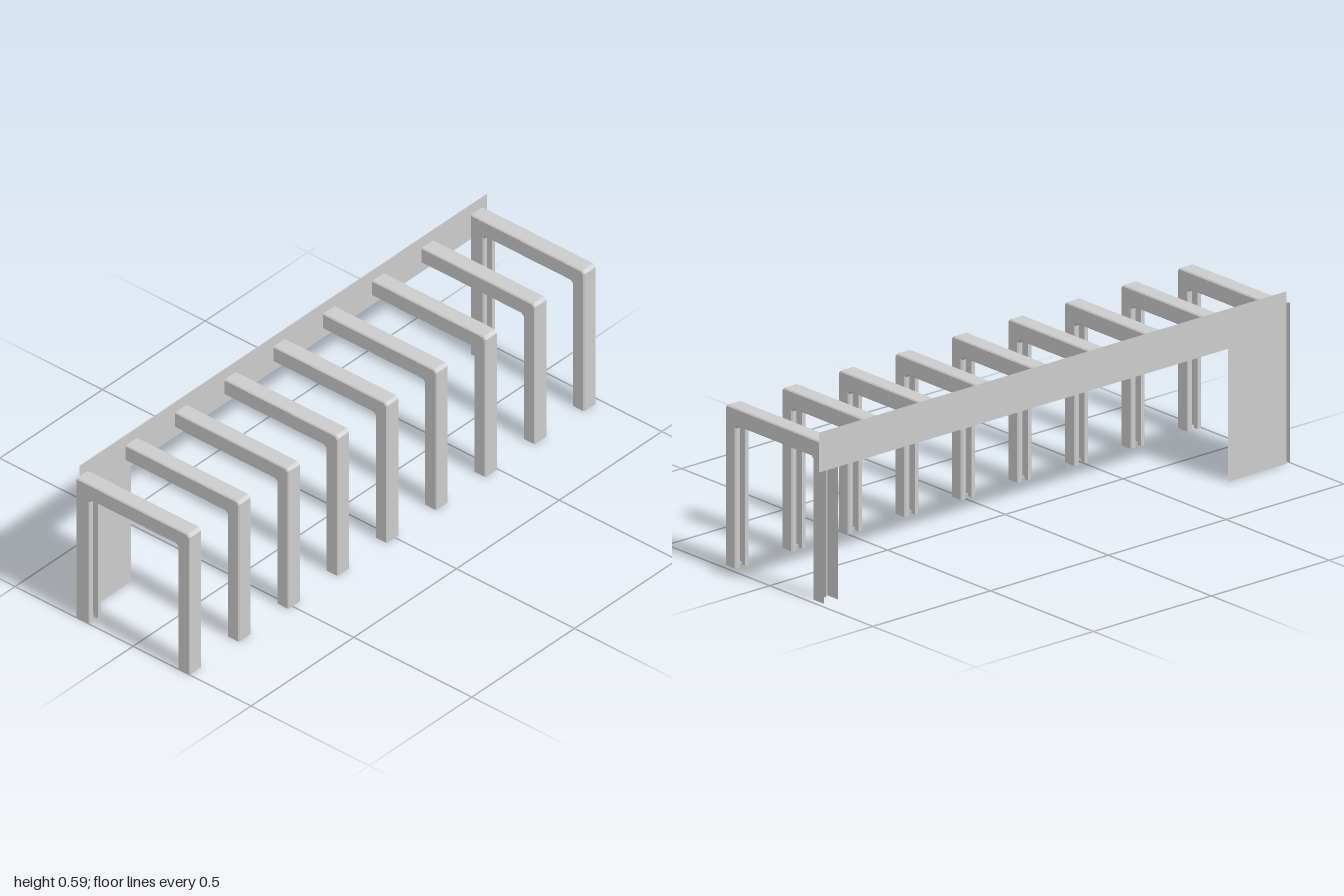
import * as THREE from 'three';

const material = new THREE.MeshStandardMaterial({ color: 0xcccccc, side: THREE.DoubleSide, flatShading: true });
const BACK = -0.24;

// Half of the slotted channel: [sideways offset, depth from inner (0) to outer (1)]
const half = [[0.012, 0.32], [0.012, 0], [0.026, 0], [0.03, 0.07], [0.03, 0.93], [0.026, 1]];
const mirror = (points) => points.map(([u, v]) => [-u, v]).reverse();
const closedChannel = [...half, ...mirror(half)];
const cutHalf = [...half.slice(0, 4), [0.03, 1]];

// Sweeps a section along stations [innerZ, innerY, outerZ, outerY]
function sweep(section, stations) {
  const positions = [];
  const indices = [];
  const n = section.length;
  stations.forEach(([iz, iy, oz, oy], s) => {
    section.forEach(([u, v], j) => {
      positions.push(u, iy + v * (oy - iy), iz + v * (oz - iz));
      if (s === stations.length - 1 || j === n - 1) return;
      const a = s * n + j;
      indices.push(a, a + n, a + n + 1, a, a + n + 1, a + 1);
    });
  });
  const geometry = new THREE.BufferGeometry();
  geometry.setAttribute('position', new THREE.Float32BufferAttribute(positions, 3));
  geometry.setIndex(indices);
  const flat = geometry.toNonIndexed();
  flat.computeVertexNormals();
  return flat;
}

function addMesh(parent, name, geometry) {
  const mesh = new THREE.Mesh(geometry, material);
  mesh.name = name;
  parent.add(mesh);
  return mesh;
}

export function createModel() {
  const model = new THREE.Group();
  model.name = 'channelFrameRow';

  // Front leg with bevelled corner into the top beam
  const frontStations = [
    [0.19, 0, 0.24, 0],
    [0.19, 0.477, 0.24, 0.537],
    [0.18, 0.487, 0.23, 0.547],
  ];
  const beamToWall = sweep(closedChannel, [...frontStations, [BACK, 0.487, BACK, 0.547]]);
  const beamToLeg = sweep(closedChannel, [...frontStations, [-0.176, 0.487, BACK, 0.547]]);

  // Rear leg, open towards the wall
  const rearStations = [
    [-0.176, 0.487, BACK, 0.547],
    [-0.186, 0.477, BACK, 0.545],
    [-0.186, 0, BACK, 0],
  ];
  const rearSides = [cutHalf, mirror(cutHalf)].map((section) => sweep(section, rearStations));

  // Nine frames; only the two end ones have rear legs
  const count = 9;
  for (let i = 0; i < count; i++) {
    const isEnd = i === 0 || i === count - 1;
    const frame = new THREE.Group();
    frame.name = isEnd ? 'endFrame' : 'middleFrame';
    frame.position.x = -0.97 + i * 0.24;
    addMesh(frame, 'frontLegAndBeam', isEnd ? beamToLeg : beamToWall);
    if (isEnd) rearSides.forEach((side) => addMesh(frame, 'rearLegSide', side));
    model.add(frame);
  }

  // Thin rear wall: a long strip with one full-height panel
  const outline = [[-0.985, 0], [-0.735, 0], [-0.735, 0.452], [1, 0.452], [1, 0.588], [-0.985, 0.588]];
  const wallShape = new THREE.Shape(outline.map(([x, y]) => new THREE.Vector2(x, y)));
  addMesh(model, 'rearWall', new THREE.ShapeGeometry(wallShape)).position.z = BACK;

  return model;
}
